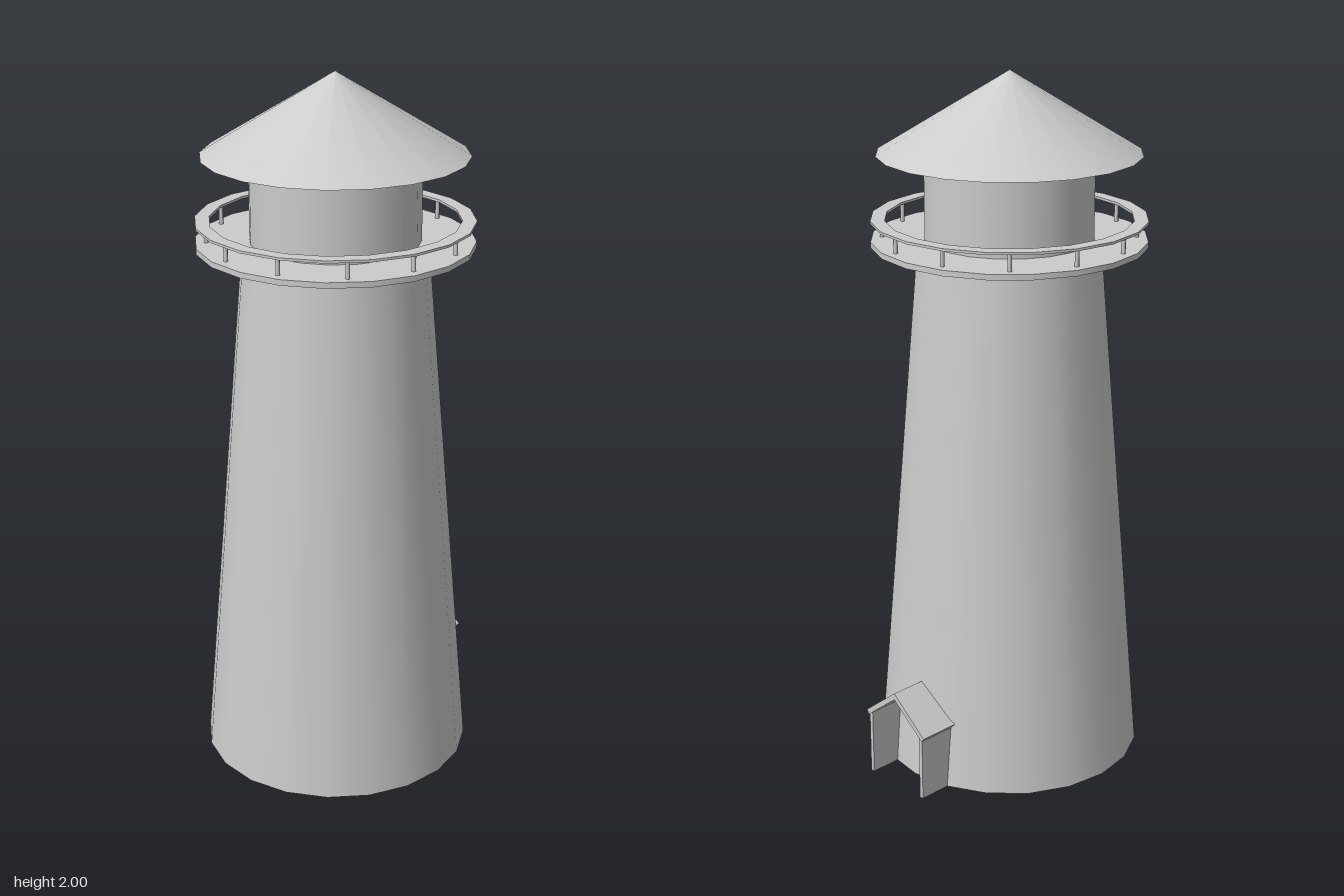
import * as THREE from 'three';
import { toCreasedNormals } from 'three/addons/utils/BufferGeometryUtils.js';

const SIDES = 20;
const CENTRE_X = -0.04;

export function createModel() {
  const model = new THREE.Group();
  const material = new THREE.MeshStandardMaterial({ color: 0xcccccc });

  function add(parent, name, geometry, x = 0, y = 0, z = 0) {
    const mesh = new THREE.Mesh(geometry, material);
    mesh.name = name;
    mesh.position.set(x, y, z);
    parent.add(mesh);
    return mesh;
  }

  // Round parts share one vertical axis
  const lighthouse = new THREE.Group();
  lighthouse.name = 'lighthouse';
  lighthouse.position.x = CENTRE_X;
  model.add(lighthouse);

  function drum(name, bottomRadius, topRadius, bottom, top) {
    const height = top - bottom;
    const geometry = new THREE.CylinderGeometry(topRadius, bottomRadius, height, SIDES);
    return add(lighthouse, name, geometry, 0, bottom + height / 2, 0);
  }

  drum('tower', 0.385, 0.257, 0, 1.525);
  drum('galleryFloor', 0.385, 0.385, 1.523, 1.539);
  drum('lanternRoom', 0.236, 0.236, 1.539, 1.776);

  // Conical roof with a flat underside
  const roofHeight = 0.225;
  add(lighthouse, 'roof', new THREE.ConeGeometry(0.367, roofHeight, SIDES), 0, 2 - roofHeight / 2, 0);

  // Gallery railing: flat ring on twelve slim posts
  const railing = new THREE.Group();
  railing.name = 'railing';
  lighthouse.add(railing);
  const ring = [[0.345, 0], [0.385, 0], [0.385, 0.007], [0.345, 0.007], [0.345, 0]]
    .map(([r, y]) => new THREE.Vector2(r, y));
  add(railing, 'handrail', toCreasedNormals(new THREE.LatheGeometry(ring, SIDES), 0.6), 0, 1.59, 0);
  const postGeometry = new THREE.CylinderGeometry(0.006, 0.006, 0.053, 8);
  for (let i = 0; i < 12; i++) {
    const angle = (i + 0.5) * Math.PI / 6;
    add(railing, 'railPost', postGeometry, 0.352 * Math.cos(angle), 1.565, 0.352 * Math.sin(angle));
  }

  // Open porch against the foot of the tower
  const porch = new THREE.Group();
  porch.name = 'porch';
  porch.position.z = -0.006;
  model.add(porch);
  for (const side of [-1, 1]) {
    add(porch, 'porchWall', new THREE.BoxGeometry(0.15, 0.2, 0.012), 0.347, 0.1, side * 0.105);
  }

  // Gabled porch roof: folded slab extruded along x
  const gable = new THREE.Shape([
    [-0.121, 0.197], [-0.112, 0.185], [0, 0.275], [0.112, 0.185], [0.121, 0.197], [0, 0.295],
  ].map(([z, y]) => new THREE.Vector2(z, y)));
  const roofGeometry = new THREE.ExtrudeGeometry(gable, { depth: 0.155, bevelEnabled: false });
  roofGeometry.rotateY(Math.PI / 2);
  add(porch, 'porchRoof', roofGeometry, 0.27, 0, 0);

  return model;
}
